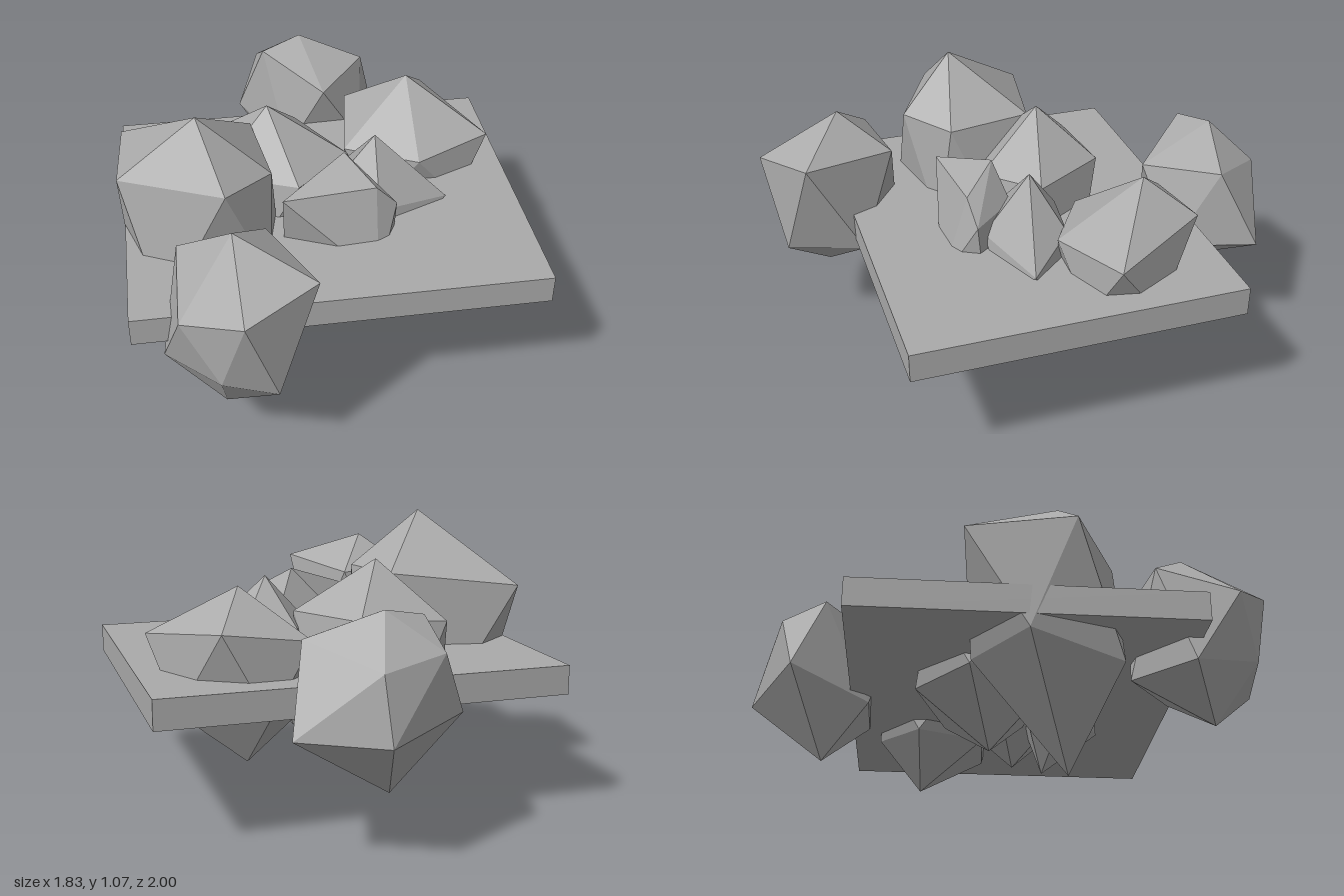
import * as THREE from 'three';
import { ConvexGeometry } from 'three/addons/geometries/ConvexGeometry.js';

const stone = new THREE.MeshStandardMaterial({ color: 0xaaaaaa });
stone.name = 'stone grey';

// Faceted boulder: a top point, an upper ring, a lower ring and a bottom point.
function boulder(name, top, upper, lower, bottom) {
  const points = [top, ...upper, ...lower, bottom].map((p) => new THREE.Vector3(...p));
  const mesh = new THREE.Mesh(new ConvexGeometry(points), stone);
  mesh.name = name;
  return mesh;
}

export function createModel() {
  const model = new THREE.Group();
  model.name = 'rockCluster';

  // Flat slab, turned about the vertical axis
  const slab = new THREE.Mesh(new THREE.BoxGeometry(1.53, 0.11, 1.245), stone);
  slab.name = 'slab';
  slab.position.set(0, 0.515, -0.01);
  slab.rotation.y = 0.3;
  model.add(slab);

  // Boulders embedded in the slab
  model.add(
    boulder('frontBoulder', [-0.19, 0.915, 0.7],
      [[-0.41, 0.77, 0.62], [-0.12, 0.775, 0.485], [0.12, 0.81, 0.785], [-0.09, 0.765, 1.0], [-0.335, 0.68, 0.915]],
      [[-0.3, 0.38, 0.5], [0.02, 0.41, 0.6], [0, 0.4, 0.91], [-0.19, 0.46, 0.955], [-0.45, 0.37, 0.75]],
      [-0.22, 0.21, 0.785]),
    boulder('largeBoulder', [-0.41, 1.07, 0.265],
      [[-0.785, 0.8, 0], [-0.28, 0.855, -0.05], [-0.14, 0.845, 0.25], [-0.27, 0.86, 0.445], [-0.685, 0.85, 0.385]],
      [[-0.55, 0.4, -0.03], [-0.16, 0.4, 0.06], [-0.14, 0.41, 0.31], [-0.52, 0.35, 0.51], [-0.73, 0.41, 0.22]],
      [-0.39, 0, 0.28]),
    boulder('middleBoulder', [-0.22, 0.92, -0.085],
      [[-0.155, 0.72, -0.325], [0.095, 0.72, -0.1], [-0.06, 0.7, 0.13], [-0.4, 0.7, 0.1], [-0.485, 0.7, -0.205]],
      [[-0.02, 0.38, -0.27], [0.08, 0.4, 0.02], [-0.22, 0.42, 0.18], [-0.49, 0.42, -0.05], [-0.36, 0.4, -0.29]],
      [-0.21, 0.19, -0.045]),
    boulder('innerBoulder', [0.205, 0.85, -0.05],
      [[0.49, 0.58, -0.07], [0.29, 0.65, -0.19], [0.08, 0.66, -0.15], [0.05, 0.66, 0.05], [0.25, 0.62, 0.12]],
      [[0.4, 0.45, -0.14], [0.17, 0.42, -0.2], [0.02, 0.42, -0.05], [0.13, 0.42, 0.12], [0.37, 0.45, 0.05]],
      [0.2, 0.28, -0.05]),
    boulder('smallBoulder', [0.105, 0.855, 0.09],
      [[-0.09, 0.765, 0.31], [0.24, 0.77, 0.18], [0.315, 0.68, 0.14], [0.15, 0.7, 0.02], [-0.06, 0.68, 0.12]],
      [[0.27, 0.42, 0.285], [0.3, 0.42, 0.12], [0.15, 0.4, 0.02], [-0.03, 0.4, 0.06], [-0.1, 0.42, 0.24]],
      [0.1, 0.205, 0.09]),
    boulder('leftBoulder', [0.285, 0.88, -0.46],
      [[0.02, 0.7, -0.555], [0.33, 0.745, -0.66], [0.63, 0.69, -0.365], [0.375, 0.67, -0.15], [0.065, 0.65, -0.23]],
      [[0.17, 0.43, -0.6], [0.5, 0.43, -0.52], [0.53, 0.44, -0.26], [0.22, 0.42, -0.18], [0.05, 0.42, -0.4]],
      [0.26, 0.23, -0.45]),
    boulder('backBoulder', [-0.21, 0.855, -0.775],
      [[0.06, 0.76, -0.79], [-0.06, 0.74, -0.5], [-0.35, 0.82, -0.67], [-0.41, 0.72, -0.82], [-0.2, 0.685, -0.96]],
      [[0.08, 0.45, -0.62], [-0.22, 0.43, -0.52], [-0.48, 0.5, -0.74], [-0.23, 0.45, -1.0], [0.09, 0.46, -0.95]],
      [-0.24, 0.195, -0.69]),
  );
  return model;
}
